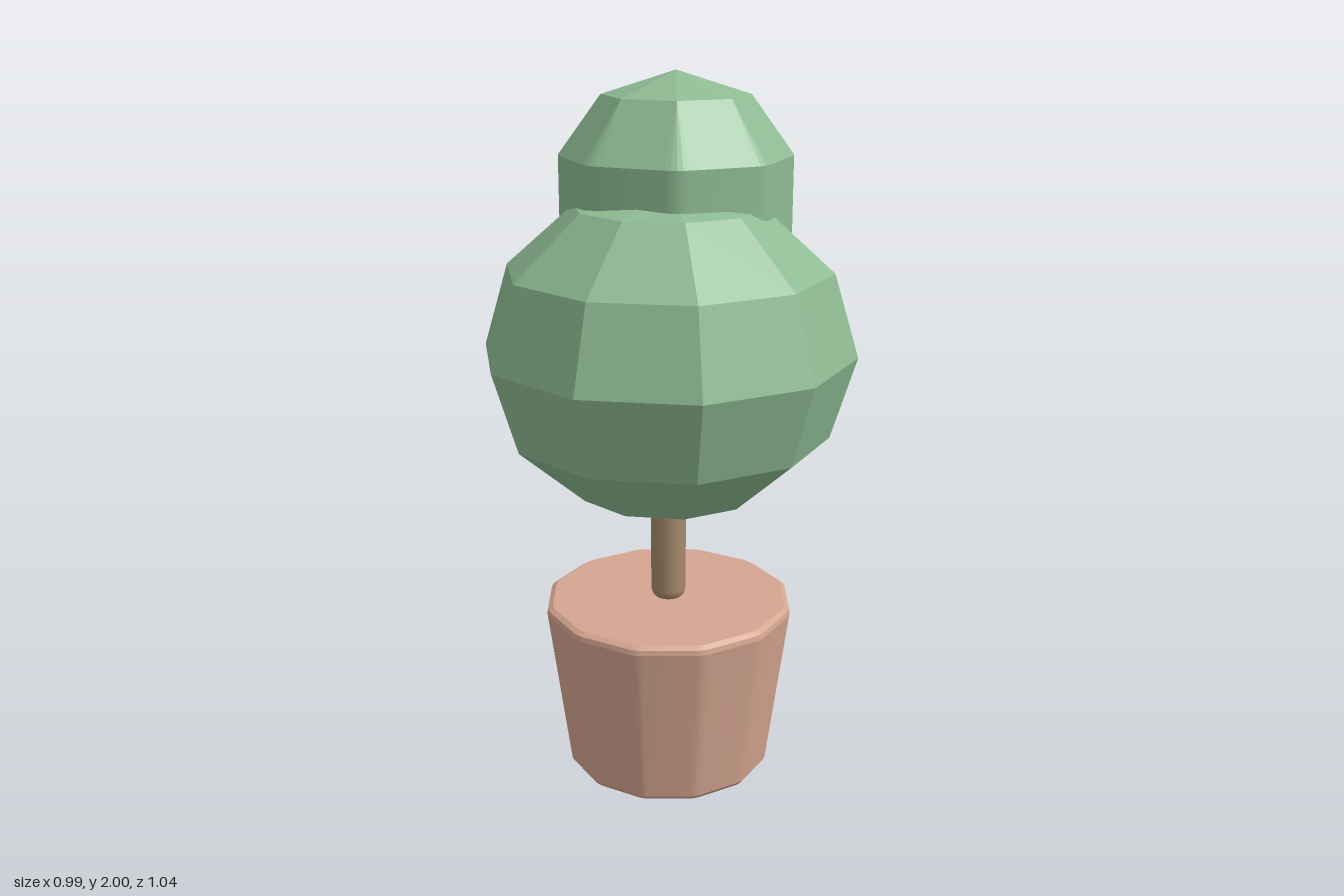
import * as THREE from 'three';
import { toCreasedNormals } from 'three/addons/utils/BufferGeometryUtils.js';

// Regular polygon ring with rounded corners: t is the length cut from each side at a corner
function ring(sides, radius, y, t, steps = 4) {
  const points = [];
  const corner = (i) => {
    const a = (i / sides) * Math.PI * 2;
    return new THREE.Vector3(Math.sin(a) * radius, y, Math.cos(a) * radius);
  };
  for (let i = 0; i < sides; i++) {
    const c = corner(i);
    const from = corner(i - 1).sub(c).setLength(t).add(c);
    const to = corner(i + 1).sub(c).setLength(t).add(c);
    const curve = new THREE.QuadraticBezierCurve3(from, c, to);
    points.push(...curve.getPoints(steps));
  }
  return points;
}

// Skin a list of rings from bottom to top, leaving out empty triangles
function loft(rings, crease) {
  const pos = [];
  const tri = new THREE.Triangle();
  const add = (a, b, c) => {
    if (tri.set(a, b, c).getArea() > 1e-9) pos.push(...a, ...b, ...c);
  };
  for (let r = 0; r + 1 < rings.length; r++) {
    const low = rings[r], high = rings[r + 1], n = low.length;
    for (let i = 0; i < n; i++) {
      const j = (i + 1) % n;
      add(low[i], low[j], high[j]);
      add(low[i], high[j], high[i]);
    }
  }
  const geometry = new THREE.BufferGeometry();
  geometry.setAttribute('position', new THREE.Float32BufferAttribute(pos, 3));
  geometry.computeVertexNormals();
  return crease ? toCreasedNormals(geometry, crease) : geometry;
}

export function createModel() {
  const model = new THREE.Group();
  model.name = 'pottedTopiary';

  const material = (name, color) => {
    const m = new THREE.MeshStandardMaterial({ color });
    m.name = name;
    return m;
  };
  const clay = material('clay', 0xd4a590);
  const bark = material('bark', 0xa5896a);
  const leaf = material('leaf', 0x8ebb93);

  const add = (name, geometry, mat, parent = model) => {
    const mesh = new THREE.Mesh(geometry, mat);
    mesh.name = name;
    parent.add(mesh);
    return mesh;
  };

  // Tapered twelve-sided pot with softened rims, filled to the top
  const potProfile = [
    [0, 0.005], [0.275, 0.005], [0.288, 0.009], [0.298, 0.022],
    [0.361, 0.497], [0.358, 0.511], [0.344, 0.52], [0, 0.52],
  ];
  add('pot', loft(potProfile.map(([r, y]) => ring(12, r, y, r * 0.06)), 0.2), clay);

  // Round trunk with a softened foot
  const trunkProfile = [[0, 0.518], [0.038, 0.52], [0.047, 0.53], [0.05, 0.545], [0.05, 0.86]];
  const trunk = new THREE.LatheGeometry(trunkProfile.map(([r, y]) => new THREE.Vector2(r, y)), 16);
  add('trunk', trunk, bark);

  // Large faceted ball of leaves
  const ball = new THREE.SphereGeometry(0.52, 10, 6).rotateY(Math.PI / 2).scale(1, 0.885, 1).toNonIndexed();
  ball.computeVertexNormals();
  add('lowerFoliage', ball, leaf).position.y = 1.255;

  // Small off-centre tuft: rounded octagonal wall under a faceted dome
  const tuft = new THREE.Group();
  tuft.name = 'upperFoliage';
  tuft.position.set(0.102, 0, -0.072);
  model.add(tuft);
  const brim = ring(8, 0.329, 1.775, 0.035);
  add('tuftWall', loft([ring(8, 0, 1.43, 0), ring(8, 0.3, 1.43, 0.035), ring(8, 0.329, 1.49, 0.035), brim], 0.25), leaf, tuft);
  add('tuftDome', loft([brim, ring(8, 0.204, 1.936, 0), ring(8, 0, 2, 0)]), leaf, tuft);

  return model;
}
